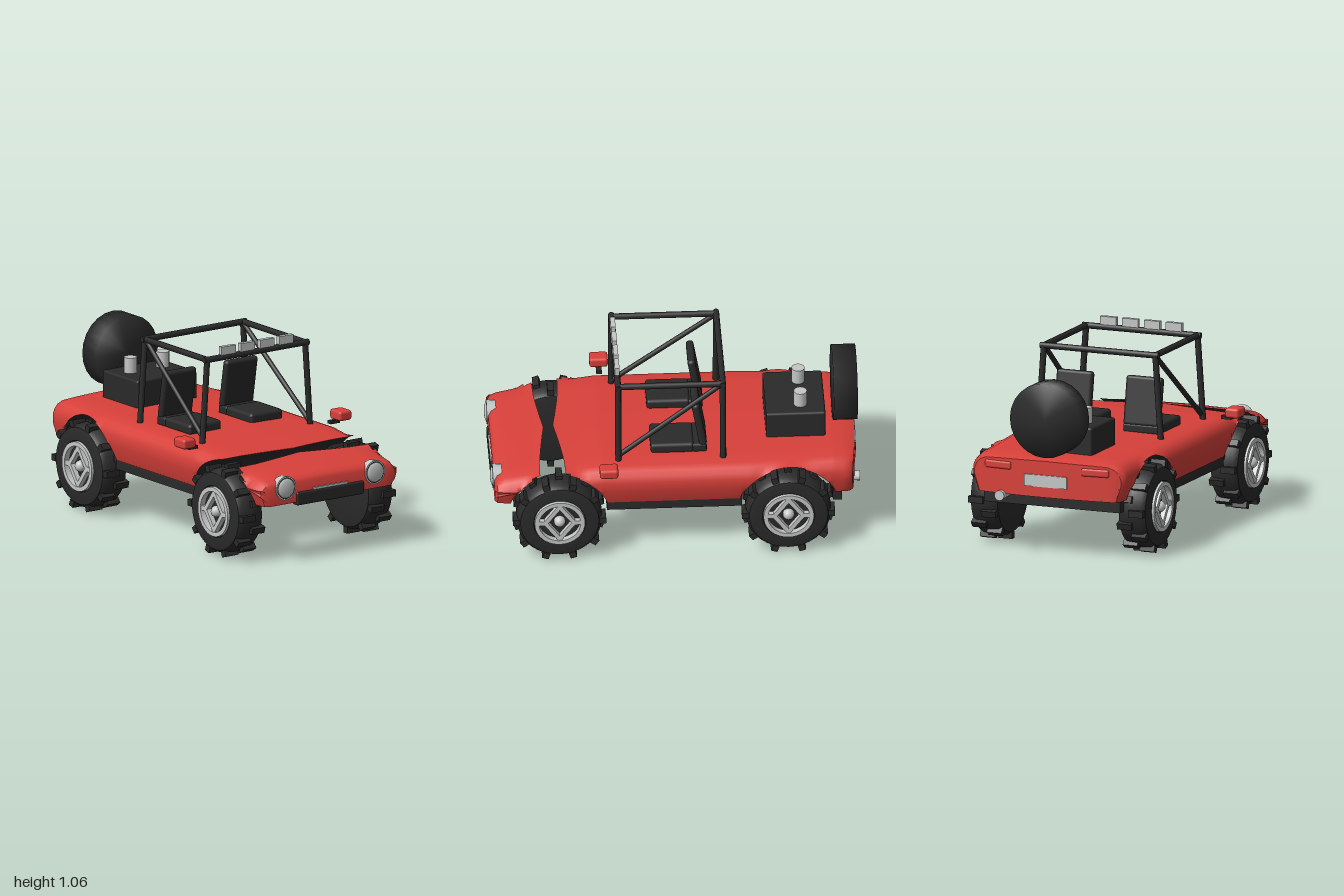
import * as THREE from 'three';
import { toCreasedNormals, mergeVertices } from 'three/addons/utils/BufferGeometryUtils.js';
import { RoundedBoxGeometry } from 'three/addons/geometries/RoundedBoxGeometry.js';

const mat = (name, color) => Object.assign(new THREE.MeshStandardMaterial({ color }), { name });

export function createModel() {
  const red = mat('red paint', 0xd8403a);
  const black = mat('black rubber', 0x2a2a2a);
  const silver = mat('silver', 0xc6c8c8);
  const root = new THREE.Group();
  root.name = 'buggy';

  const add = (name, geo, m, x = 0, y = 0, z = 0, parent = root) => {
    const mesh = new THREE.Mesh(geo, m);
    mesh.name = name;
    mesh.position.set(x, y, z);
    parent.add(mesh);
    return mesh;
  };
  const box = (w, h, d) => new THREE.BoxGeometry(w, h, d);
  const rbox = (w, h, d, r = 0.012) => new RoundedBoxGeometry(w, h, d, 2, r);
  const tube = (name, a, b, r = 0.017) => {
    const p = new THREE.Vector3(...a), q = new THREE.Vector3(...b);
    const mesh = add(name, new THREE.CylinderGeometry(r, r, p.distanceTo(q), 10), black);
    mesh.position.copy(p).add(q).multiplyScalar(0.5);
    mesh.quaternion.setFromUnitVectors(new THREE.Vector3(0, 1, 0), q.sub(p).normalize());
  };

  // Body shell: cross-sections along z, cut from below by round wheel arches
  const AXLES = [0.635, -0.6], AXLE_Y = 0.255, ARCH = 0.27;
  const lerpTable = (t, z) => {
    if (z <= t[0][0]) return t[0][1];
    for (let i = 1; i < t.length; i++) {
      const [z0, v0] = t[i - 1], [z1, v1] = t[i];
      if (z <= z1) return v0 + (v1 - v0) * (z - z0) / (z1 - z0);
    }
    return t[t.length - 1][1];
  };
  const topLine = [[-0.95, 0.53], [-0.92, 0.543], [-0.85, 0.55], [0.4, 0.55], [0.68, 0.522], [0.93, 0.475], [0.965, 0.462], [0.98, 0.44]];
  const halfWidth = [[-0.95, 0.43], [-0.93, 0.447], [-0.4, 0.485], [0.4, 0.485], [0.75, 0.47], [0.93, 0.462], [0.965, 0.455], [0.98, 0.435]];
  const bottom = z => AXLES.reduce((y, c) =>
    Math.abs(z - c) < ARCH ? Math.max(y, AXLE_Y + Math.sqrt(ARCH ** 2 - (z - c) ** 2)) : y, 0.33);
  const shoulder = [[0, 0.075], [0.012, 0.045], [0.035, 0.022], [0.07, 0.009], [0.16, 0.005], [0.27, 0.003], [0.38, 0.001]];

  const section = (zs, shift) => {
    const hw = lerpTable(halfWidth, zs);
    const half = [[hw, 0], [hw, 0.42], ...shoulder.map(([dx, dy]) => [hw - dx, -dy])];
    const cols = [...half.map(([x, y]) => [-x, y]), [0, -1e-4], ...half.reverse()];
    return cols.map(([x, y]) => {
      const z = zs + shift(x, zs, hw), yb = bottom(z);
      const sill = hw - 0.03 * Math.max(0, (0.45 - yb) / 0.12);
      const xb = Math.sign(x) * Math.min(Math.abs(x), sill);
      const raw = y < 0 ? lerpTable(topLine, zs) + y : y;
      const cut = raw <= yb;
      return { p: [cut ? xb : x, Math.max(raw, yb), z], q: [xb, yb, z], cut };
    });
  };
  const shell = (name, stations, shift) => {
    const rows = stations.slice().sort((a, b) => a - b).map(z => section(z, shift));
    const skin = [], under = [];
    const quad = (out, a, b, c, d) => out.push(...a, ...b, ...c, ...a, ...c, ...d);
    for (let j = 0; j < rows.length - 1; j++) {
      for (let i = 0; i < rows[j].length - 1; i++) {
        const a = rows[j][i], b = rows[j + 1][i], c = rows[j + 1][i + 1], d = rows[j][i + 1];
        if ([a, b, c, d].every(v => v.cut)) continue;
        quad(skin, a.p, b.p, c.p, d.p);
        quad(under, a.q, d.q, c.q, b.q);
      }
    }
    const first = rows[0], last = rows[rows.length - 1];
    for (let i = 0; i < first.length - 1; i++) {
      quad(skin, last[i].q, last[i + 1].q, last[i + 1].p, last[i].p);
      quad(skin, first[i + 1].q, first[i].q, first[i].p, first[i + 1].p);
    }
    [[name, skin, red], [name + ' underside', under, black]].forEach(([n, arr, m]) => {
      const g = new THREE.BufferGeometry();
      g.setAttribute('position', new THREE.Float32BufferAttribute(arr, 3));
      add(n, toCreasedNormals(g, 0.7), m);
    });
  };
  const arc = (c, a, b, n) => Array.from({ length: n + 1 }, (_, i) => c + ARCH * Math.sin(a + (b - a) * i / n));
  const clamp01 = v => Math.min(1, Math.max(0, v));
  const peak = x => clamp01(1 - Math.abs(x) / 0.36) ** 1.3;
  shell('main body', [...arc(0.635, -1.29, -0.13, 12), 0.2, 0, -0.2, ...arc(-0.6, -1.29, 1.29, 22), -0.9, -0.93, -0.95],
    (x, z, hw) => 0.045 * peak(x) * clamp01((z - 0.5) / 0.1) - 0.03 * (1 - (x / hw) ** 2) * clamp01((-0.86 - z) / 0.09));
  shell('nose', [...arc(0.635, 0.38, 1.29, 10), 0.93, 0.965, 0.98],
    (x, z) => -0.04 * peak(x) * clamp01((0.83 - z) / 0.095));

  // Floor, bumpers and plates
  add('floor', box(0.9, 0.07, 0.73), black, 0, 0.313, 0.012);
  add('rearBumper', box(0.8, 0.073, 0.05), black, 0, 0.298, -0.87);
  add('frontBumper', rbox(0.45, 0.075, 0.05), black, 0, 0.348, 0.965);
  add('frontPlate', box(0.23, 0.012, 0.008), silver, 0, 0.391, 0.984);
  add('rearPlate', box(0.25, 0.065, 0.008), silver, 0, 0.42, -0.982);
  const pipe = add('exhaust', new THREE.CylinderGeometry(0.022, 0.028, 0.13, 14), silver, 0.265, 0.322, -0.933);
  pipe.rotation.x = Math.PI / 2;

  // Paired headlights, tail lights, mirrors, seats and engine stacks
  for (const s of [-1, 1]) {
    const ring = add('headlightRing', new THREE.CylinderGeometry(0.066, 0.06, 0.05, 28), silver, s * 0.298, 0.42, 0.962);
    ring.rotation.x = Math.PI / 2;
    const lens = add('headlightLens', new THREE.SphereGeometry(0.054, 24, 10, 0, Math.PI * 2, 0, Math.PI / 2), silver, s * 0.298, 0.42, 0.985);
    lens.rotation.x = Math.PI / 2;
    lens.scale.y = 0.27;
    const rim = add('headlightTrim', new THREE.TorusGeometry(0.057, 0.003, 6, 28), black, s * 0.298, 0.42, 0.986);
    rim.scale.z = 0.6;
    add('tailLight', rbox(0.16, 0.045, 0.03), red, s * 0.285, 0.487, -0.958).rotation.y = -s * 0.09;
    add('mirror', rbox(0.083, 0.055, 0.1, 0.015), red, s * 0.522, 0.583, 0.37);
    add('mirrorStalk', box(0.06, 0.018, 0.03), black, s * 0.475, 0.55, 0.37);
    add('seatCushion', rbox(0.215, 0.06, 0.235, 0.018), black, s * 0.205, 0.567, 0.015);
    add('seatBack', rbox(0.215, 0.27, 0.042, 0.018), black, s * 0.205, 0.713, -0.13).rotation.x = 0.17;
    add('seatBase', rbox(0.215, 0.05, 0.08), black, s * 0.205, 0.567, -0.13);
    add('engineStack', new THREE.CylinderGeometry(0.036, 0.036, 0.09, 12), silver, s * 0.108, 0.737, -0.685);
  }

  // Engine cover and spare wheel
  add('engineCover', rbox(0.4, 0.17, 0.32), black, 0, 0.612, -0.657);
  let spare = new THREE.CylinderGeometry(0.205, 0.205, 0.13, 24);
  spare.deleteAttribute('normal');
  spare.deleteAttribute('uv');
  spare = mergeVertices(spare);
  spare.computeVertexNormals();
  add('spareWheel', spare, black, 0, 0.755, -0.926).rotation.x = Math.PI / 2;

  // Roll cage with lamps on its front bar
  const F = 0.31, R = -0.255;
  for (const z of [F, R]) {
    tube('cageCrossBar', [-0.348, 1, z], [0.348, 1, z]);
    for (const s of [-1, 1]) tube('cagePost', [s * 0.36, 0.54, z], [s * 0.328, 1, z]);
  }
  for (const s of [-1, 1]) {
    tube('cageSideBar', [s * 0.328, 1, F], [s * 0.328, 1, R]);
    tube('cageDiagonal', [s * 0.352, 0.565, F], [s * 0.325, 1, R], 0.014);
  }
  for (let i = 0; i < 4; i++) add('roofLamp', box(0.094, 0.046, 0.026), silver, -0.193 + i * 0.129, 1.037, F);

  // Wheels: tyre, staggered lugs, rim with a diamond spoke frame
  const profile = [[0, -0.085], [0.18, -0.085], [0.212, -0.078], [0.228, -0.055], [0.232, 0], [0.228, 0.055],
    [0.212, 0.078], [0.18, 0.085], [0.142, 0.085], [0.13, 0.062], [0, 0.062]].map(p => new THREE.Vector2(...p));
  const tyreGeo = toCreasedNormals(new THREE.LatheGeometry(profile, 36), 0.6).rotateZ(-Math.PI / 2);
  const plate = (shape, depth) =>
    new THREE.ExtrudeGeometry(shape, { depth, bevelEnabled: false, curveSegments: 20 }).rotateY(Math.PI / 2);
  const ringShape = new THREE.Shape().absarc(0, 0, 0.136, 0, Math.PI * 2);
  ringShape.holes.push(new THREE.Path().absarc(0, 0, 0.112, 0, Math.PI * 2, true));
  const diamond = k => [[0.092, 0], [0, 0.124], [-0.092, 0], [0, -0.124]].map(([x, y]) => new THREE.Vector2(x * k, y * k));
  const diamondShape = new THREE.Shape(diamond(1));
  diamondShape.holes.push(new THREE.Path(diamond(0.68).reverse()));
  const ringGeo = plate(ringShape, 0.035), diamondGeo = plate(diamondShape, 0.03);
  const lugGeo = box(0.085, 0.036, 0.036), stubGeo = box(0.03, 0.026, 0.045), hubGeo = new THREE.SphereGeometry(0.032, 14, 10);

  for (const [k, z] of AXLES.entries()) for (const s of [-1, 1]) {
    const wheel = new THREE.Group();
    wheel.name = (k ? 'rear' : 'front') + (s > 0 ? 'Left' : 'Right') + 'Wheel';
    wheel.position.set(s * 0.435, 0.252, z);
    if (s < 0) wheel.rotation.y = Math.PI;
    root.add(wheel);
    add('tyre', tyreGeo, black, 0, 0, 0, wheel);
    add('rimRing', ringGeo, silver, 0.06, 0, 0, wheel);
    add('rimSpokes', diamondGeo, silver, 0.06, 0, 0, wheel);
    add('hub', hubGeo, silver, 0.07, 0, 0, wheel);
    for (const t of [-1, 1]) add('rimStub', stubGeo, silver, 0.075, 0, t * 0.095, wheel);
    for (let i = 0; i < 20; i++) {
      const a = (i / 20) * Math.PI * 2;
      const lug = add('lug', lugGeo, black, i % 2 ? 0.035 : -0.035, 0.233 * Math.cos(a), 0.233 * Math.sin(a), wheel);
      lug.rotation.x = a;
    }
  }
  return root;
}
